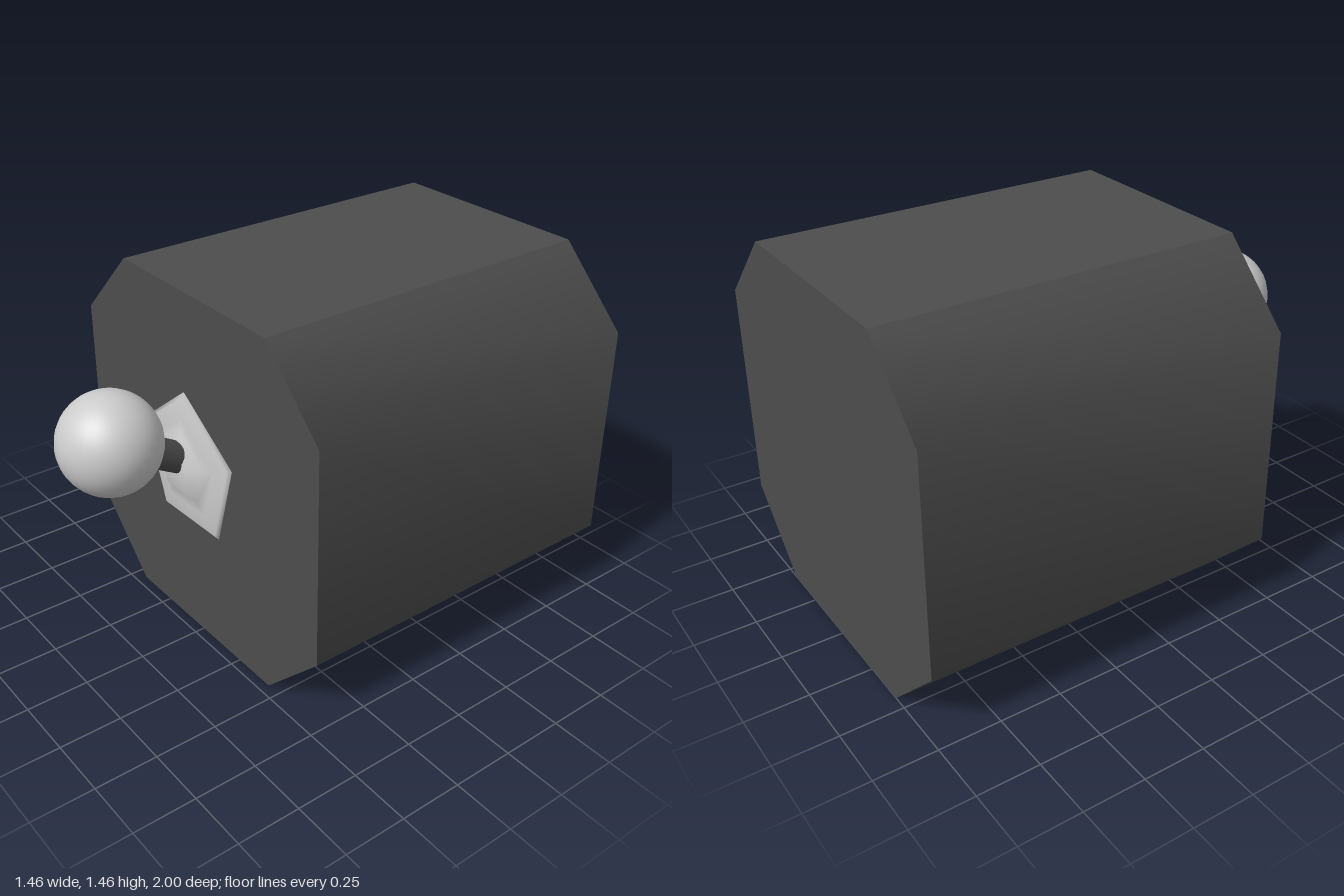
import * as THREE from 'three';
import { toCreasedNormals, mergeGeometries, mergeVertices } from 'three/addons/utils/BufferGeometryUtils.js';

const dark = new THREE.MeshStandardMaterial({ color: 0x4d4d4d });
const grey = new THREE.MeshStandardMaterial({ color: 0xcccccc });

// Strip of wall running from back to front along a counter-clockwise outline
function wall(outline, back, front) {
  const pos = [], index = [];
  outline.forEach(([x, y], i) => {
    pos.push(x, y, back, x, y, front);
    if (i > 0) {
      const a = 2 * i - 2;
      index.push(a, a + 2, a + 3, a, a + 3, a + 1);
    }
  });
  const geo = new THREE.BufferGeometry();
  geo.setAttribute('position', new THREE.Float32BufferAttribute(pos, 3));
  geo.setIndex(index);
  geo.computeVertexNormals();
  return geo;
}

// Flat octagonal end, facing +z or -z
function cap(outline, z, facing) {
  const geo = new THREE.ShapeGeometry(new THREE.Shape(outline.map(([x, y]) => new THREE.Vector2(x, y))));
  geo.deleteAttribute('uv');
  if (facing < 0) geo.rotateY(Math.PI);
  return geo.translate(0, 0, z);
}

export function createModel() {
  const model = new THREE.Group();
  const add = (name, geometry, material) => {
    const mesh = new THREE.Mesh(geometry, material);
    mesh.name = name;
    model.add(mesh);
    return mesh;
  };

  // Octagonal block: flat top and bottom, softly shaded sides
  const back = -1, front = 0.46;
  const right = [[0.44, 0], [0.73, 0.29], [0.73, 1.17], [0.44, 1.46]];
  const left = right.map(([x, y]) => [-x, y]).reverse();
  const block = mergeGeometries([
    wall(right, back, front),
    wall([right[3], left[0]], back, front),
    wall(left, back, front),
    wall([left[3], right[0]], back, front),
    cap([...right, ...left], front, 1),
    cap([...right, ...left], back, -1),
  ]);
  add('block', block, dark);

  // Five-sided mounting plate with a raised hub
  const profile = [
    [0, 0], [0.2, 0.004], [0.28, 0.014], [0.303, 0.025], [0.285, 0.036],
    [0.2, 0.046], [0.14, 0.05], [0.09, 0.09], [0, 0.09],
  ].map(([r, h]) => new THREE.Vector2(r, h));
  const plate = new THREE.LatheGeometry(profile, 5, THREE.MathUtils.degToRad(38));
  plate.rotateX(Math.PI / 2);
  add('mountingPlate', plate, grey).position.set(-0.015, 0.775, front);

  // Stem rising from the hub into the ball
  const start = new THREE.Vector3(-0.02, 0.805, 0.5);
  const centre = new THREE.Vector3(-0.02, 0.98, 0.805);
  const direction = centre.clone().sub(start);
  const stem = add('stem', new THREE.CylinderGeometry(0.06, 0.06, direction.length(), 20), dark);
  stem.position.copy(start).add(centre).multiplyScalar(0.5);
  stem.quaternion.setFromUnitVectors(new THREE.Vector3(0, 1, 0), direction.normalize());

  // Round knob
  add('ball', new THREE.SphereGeometry(0.195, 32, 20), grey).position.copy(centre);

  return model;
}
